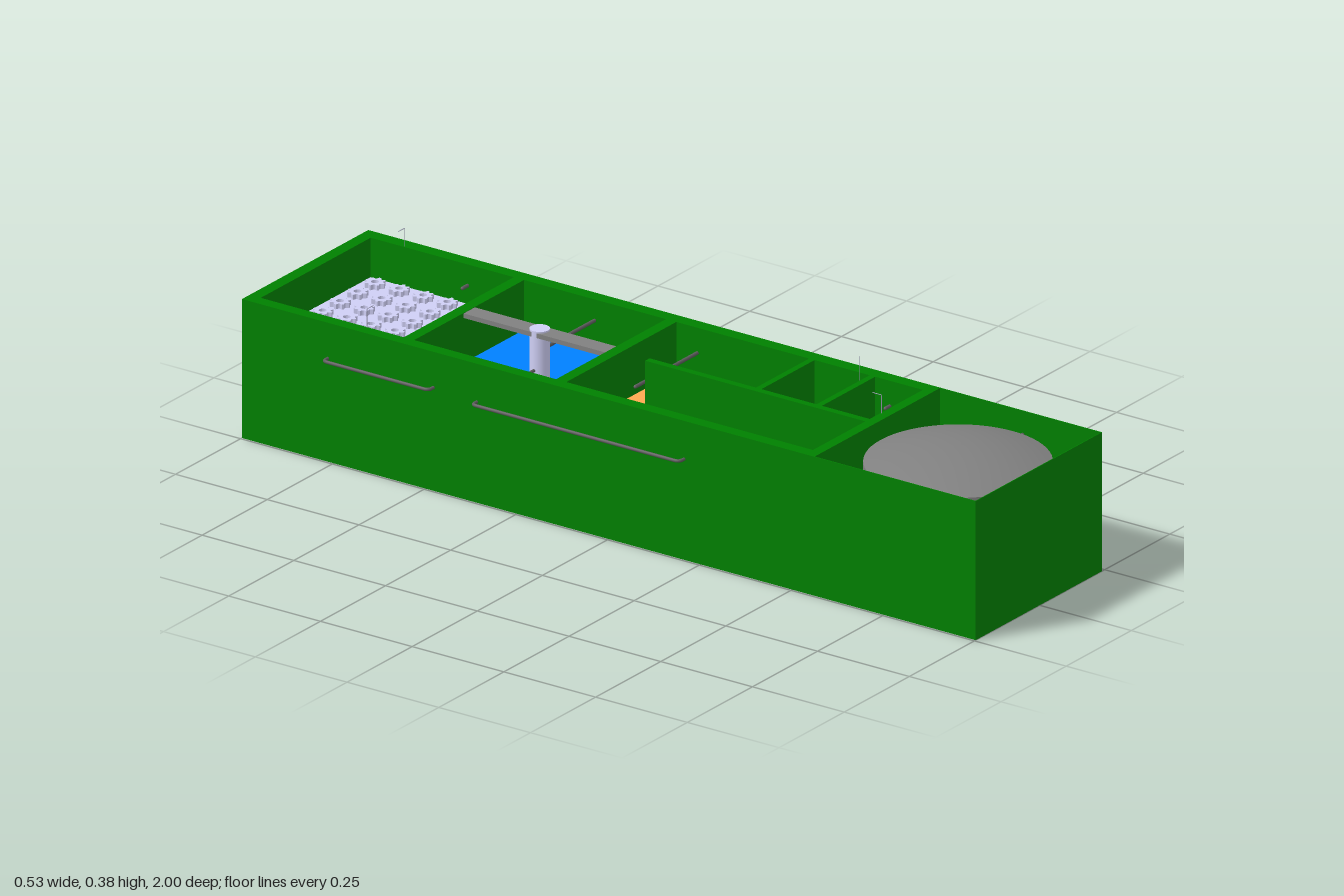
import * as THREE from 'three';

const mat = (color) => new THREE.MeshStandardMaterial({ color });
const green = mat(0x008000), orange = mat(0xffa850), blue = mat(0x0080ff), lilac = mat(0xcfcff5);
const brown = mat(0x785a2e), darkGrey = mat(0x5c5c5c), grey = mat(0x808080), steel = mat(0xa0a0b8);
const RIM = 0.335;

export function createModel() {
  const model = new THREE.Group();
  const add = (name, geometry, material, x = 0, y = 0, z = 0) => {
    const mesh = new THREE.Mesh(geometry, material);
    mesh.name = name;
    mesh.position.set(x, y, z);
    model.add(mesh);
  };
  // box given by its x, y and z limits
  const block = (name, material, x0, x1, y0, y1, z0, z1) =>
    add(name, new THREE.BoxGeometry(x1 - x0, y1 - y0, z1 - z0), material,
      (x0 + x1) / 2, (y0 + y1) / 2, (z0 + z1) / 2);
  // plan outlines use (x, -z), counter-clockwise, so extruding upwards puts them in place
  const rect = (x0, x1, z0, z1) => [[x0, z1], [x1, z1], [x1, z0], [x0, z0]];
  const points = (list) => list.map(([x, z]) => new THREE.Vector2(x, -z));

  // Shell: one outline with a hole for every chamber
  const X0 = -0.215, X1 = 0.207;
  const shell = new THREE.Shape(points(rect(-0.245, 0.24, -1, 1)));
  const chambers = [
    rect(X0, X1, -0.97, -0.58),
    rect(X0, X1, -0.552, -0.165),
    [[X0, 0.535], [-0.014, 0.535], [-0.014, -0.065], [0.003, -0.065],
      [0.003, 0.225], [X1, 0.225], [X1, -0.137], [X0, -0.137]],
    rect(0.003, X1, 0.24, 0.39),
    rect(0.003, X1, 0.405, 0.535),
    rect(-0.243, 0.238, 0.56, 0.998),
  ];
  chambers.forEach((c) => shell.holes.push(new THREE.Path(points(c))));
  const shellGeometry = new THREE.ExtrudeGeometry(shell, { depth: RIM, bevelEnabled: false });
  add('shellWalls', shellGeometry.rotateX(-Math.PI / 2), green);
  block('shellFloor', green, -0.244, 0.239, 0.001, 0.012, -0.999, 0.999);

  // Chamber contents
  const LEVEL = 0.215;
  block('mediaBed', lilac, X0, X1, 0.01, 0.24, -0.97, -0.58);
  block('mixingWater', blue, X0, X1, 0.01, LEVEL, -0.552, -0.165);
  block('leftChannelLiquid', orange, X0, -0.014, 0.01, LEVEL, -0.137, 0.535);
  block('rightChannelLiquid', orange, 0.003, X1, 0.01, LEVEL, -0.137, 0.225);
  block('channelTurnLiquid', orange, -0.014, 0.003, 0.01, LEVEL, -0.137, -0.065);
  block('settlingLiquid', brown, 0.003, X1, 0.01, LEVEL, 0.24, 0.39);
  block('inletLiquid', darkGrey, 0.003, X1, 0.01, LEVEL, 0.405, 0.535);

  // Lobed rings on the media bed
  const ring = new THREE.Shape();
  const lobes = 8;
  for (let i = 0; i < lobes * 4; i++) {
    const a = (i / (lobes * 4)) * Math.PI * 2;
    const r = i % 4 < 2 ? 0.024 : 0.018;
    ring[i ? 'lineTo' : 'moveTo'](r * Math.cos(a), r * Math.sin(a));
  }
  ring.holes.push(new THREE.Path().absarc(0, 0, 0.009, 0, Math.PI * 2, true));
  const ringGeometry = new THREE.ExtrudeGeometry(ring, { depth: 0.012, bevelEnabled: false, curveSegments: 8 });
  ringGeometry.rotateX(-Math.PI / 2);
  for (let row = 0; row < 6; row++) {
    for (let col = 0; col < 6; col++) {
      add('mediaRing', ringGeometry, lilac, -0.166 + col * 0.067, 0.24, -0.931 + row * 0.0656);
    }
  }

  // Round tank with a shallow domed lid
  const R = 0.211, EAVE = 0.295;
  const profile = [new THREE.Vector2(R, 0.012), new THREE.Vector2(R, EAVE)];
  add('tankWall', new THREE.LatheGeometry(profile, 64), grey, -0.003, 0, 0.78);
  const dome = [];
  for (let i = 0; i <= 12; i++) {
    const r = R * (1 - i / 12);
    dome.push(new THREE.Vector2(r, EAVE + 0.039 * (1 - (r / R) ** 2)));
  }
  add('tankDome', new THREE.LatheGeometry(dome, 64), grey, -0.003, 0, 0.78);

  // Stirrer: bridge beam and shaft
  block('bridgeBeam', grey, -0.025, 0.018, 0.323, 0.334, -0.552, -0.165);
  add('stirrerShaft', new THREE.CylinderGeometry(0.023, 0.023, 0.138, 32), lilac, -0.003, 0.269, -0.36);

  // Bent pipes: straight runs with rounded corners
  const bentPipe = (name, corners, radius, material, bend = 0.012) => {
    const p = corners.map((c) => new THREE.Vector3(...c));
    const path = new THREE.CurvePath();
    let from = p[0];
    for (let i = 1; i < p.length - 1; i++) {
      const before = p[i].clone().add(p[i - 1].clone().sub(p[i]).setLength(bend));
      const after = p[i].clone().add(p[i + 1].clone().sub(p[i]).setLength(bend));
      path.add(new THREE.LineCurve3(from, before));
      path.add(new THREE.QuadraticBezierCurve3(before, p[i], after));
      from = after;
    }
    path.add(new THREE.LineCurve3(from, p[p.length - 1]));
    path.curves.forEach((curve) => {
      const steps = curve.isLineCurve3 ? 1 : 6;
      add(name, new THREE.TubeGeometry(curve, steps, radius, 10), material);
    });
    // end caps
    [p[0], p[p.length - 1]].forEach((e) =>
      add(name + 'End', new THREE.SphereGeometry(radius, 10, 6), material, e.x, e.y, e.z));
  };
  // name, outer x, height, first z, first inner x, last z, last inner x, radius
  [
    ['tankPipe', 0.259, 0.276, 0.785, 0.2, 0.495, 0.195, 0.006],
    ['channelPipe', 0.257, 0.274, 0.445, 0.19, -0.08, -0.03, 0.0045],
    ['rightOutletPipe', 0.257, 0.284, -0.706, 0.188, -0.36, 0.0, 0.0045],
    ['leftOutletPipe', -0.264, 0.249, -0.766, -0.2, -0.478, -0.2, 0.004],
    ['leftChannelPipe', -0.264, 0.243, 0.205, -0.195, -0.36, 0.0, 0.004],
  ].forEach(([name, x, y, z0, in0, z1, in1, r]) =>
    bentPipe(name, [[in0, y, z0], [x, y, z0], [x, y, z1], [in1, y, z1]], r, darkGrey));
  bentPipe('shortPipe', [[0.188, 0.27, -0.655], [0.238, 0.27, -0.655]], 0.004, darkGrey);

  // Thin vent wires standing above the rim
  const TOP = 0.379;
  [
    [[0.211, 0.24, -0.88], [0.211, TOP, -0.88], [0.186, TOP, -0.88]],
    [[-0.216, 0.24, -0.68], [-0.216, TOP, -0.68], [-0.191, TOP, -0.68]],
    [[0.045, 0.2, 0.537], [0.045, TOP, 0.537], [0.045, TOP, 0.514]],
    [[0.197, 0.2, 0.37], [0.197, TOP, 0.37]],
  ].forEach((path) => bentPipe('ventWire', path, 0.0009, steel, 0.002));

  return model;
}
